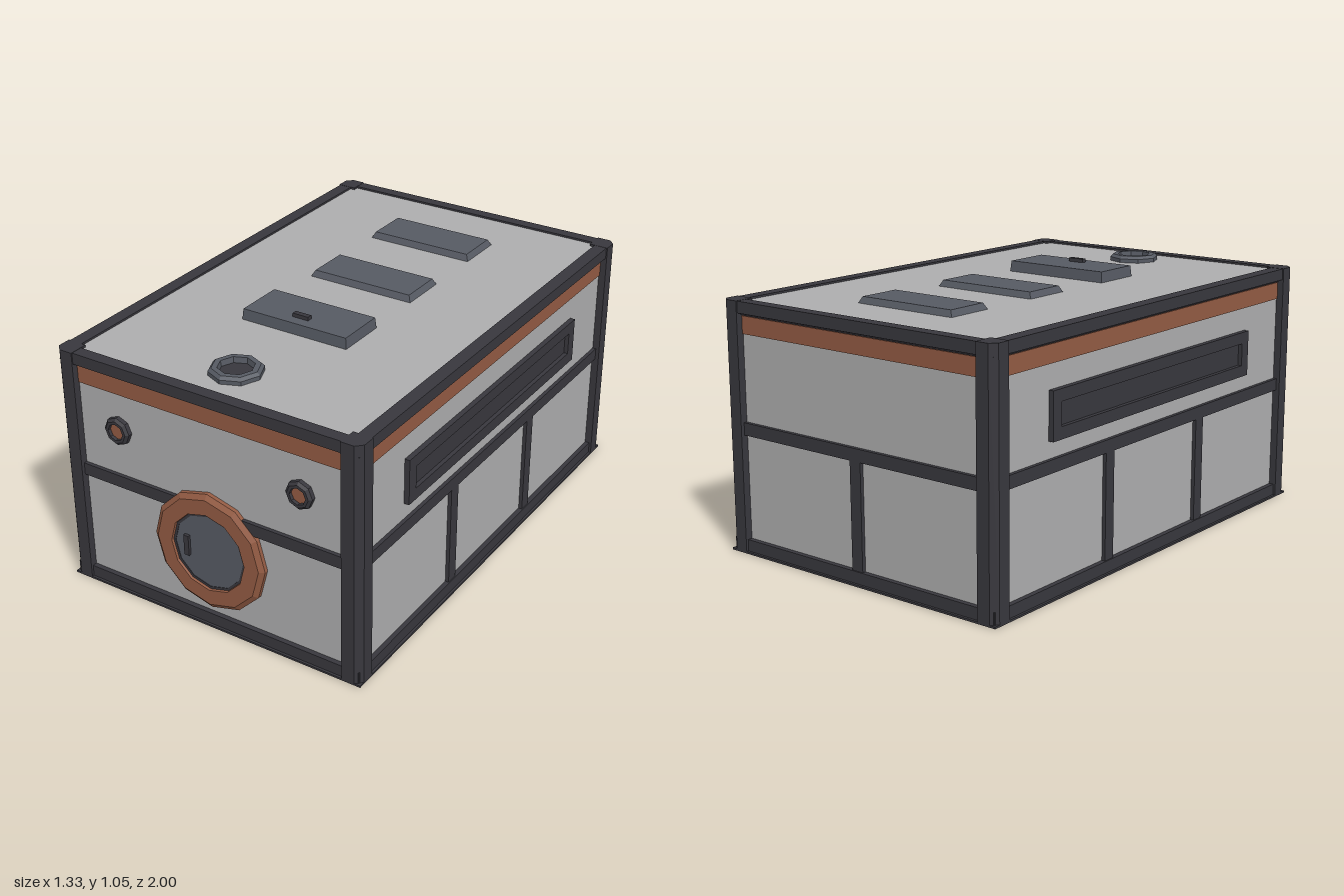
import * as THREE from 'three';

export function createModel() {
  const root = new THREE.Group();
  root.name = 'storageModule';

  const mat = (name, color) => {
    const m = new THREE.MeshStandardMaterial({ color });
    m.name = name;
    return m;
  };
  const panel = mat('light grey panel', 0xadadae);
  const frame = mat('dark frame', 0x38373d);
  const rust = mat('rust orange', 0x935b43);
  const slate = mat('slate grey', 0x565a63);

  const add = (name, geo, m, x = 0, y = 0, z = 0, parent = root) => {
    const mesh = new THREE.Mesh(geo, m);
    mesh.name = name;
    mesh.position.set(x, y, z);
    parent.add(mesh);
    return mesh;
  };
  const box = (name, m, w, h, d, x, y, z, parent) =>
    add(name, new THREE.BoxGeometry(w, h, d), m, x, y, z, parent);

  // Box whose top (or bottom) face is drawn in by an inset
  const taper = (w, h, d, inset, top = true) => {
    const g = new THREE.BoxGeometry(w, h, d);
    const p = g.attributes.position;
    for (let i = 0; i < p.count; i++) {
      if ((p.getY(i) > 0) !== top) continue;
      p.setX(i, p.getX(i) - Math.sign(p.getX(i)) * inset);
      p.setZ(i, p.getZ(i) - Math.sign(p.getZ(i)) * inset);
    }
    const flat = g.toNonIndexed();
    flat.computeVertexNormals();
    return flat;
  };

  // Faceted ring or disc turned from a profile of [radius, height]
  const turned = (profile, sides) => {
    const g = new THREE.LatheGeometry(profile.map(p => new THREE.Vector2(...p)), sides).toNonIndexed();
    g.computeVertexNormals();
    return g;
  };

  // Body and base
  box('bodyPanels', panel, 1.27, 0.935, 1.94, 0, 0.473, 0);
  box('basePlate', frame, 1.33, 0.008, 2, 0, 0.004, 0);
  box('baseBeam', frame, 1.31, 0.05, 1.98, 0, 0.03, 0);
  box('middleBeam', frame, 1.30, 0.05, 1.97, 0, 0.5, 0);

  // Chamfered corner posts
  for (const sx of [-1, 1]) for (const sz of [-1, 1]) {
    const pts = [[0.59, 0.92], [0.665, 0.92], [0.665, 0.975], [0.64, 1], [0.585, 1], [0.585, 0.92]];
    const shape = new THREE.Shape(pts.map(([x, z]) => new THREE.Vector2(sx * x, sz * z)));
    const g = new THREE.ExtrudeGeometry(shape, { depth: 0.996, bevelEnabled: false });
    g.rotateX(-Math.PI / 2);
    add('cornerPost', g, frame, 0, 0.004, 0);
  }

  // Roof rim with a sloped underside, and the roof panel set into it
  add('roofRimSlope', taper(1.31, 0.014, 1.98, 0.02, false), frame, 0, 0.947, 0);
  box('roofPanel', panel, 1.24, 0.038, 1.92, 0, 0.972, 0);
  for (const s of [-1, 1]) {
    box('roofSideBeam', frame, 0.055, 0.046, 1.96, s * 0.6325, 0.976, 0);
    box('roofEndBeam', frame, 1.28, 0.046, 0.05, 0, 0.976, s * 0.97);
  }

  // Painted stripes under the rim
  for (const s of [-1, 1]) {
    box('endStripe', rust, 1.18, 0.07, 0.006, 0, 0.905, s * 0.971);
    box('sideStripe', rust, 0.006, 0.07, 1.84, s * 0.636, 0.905, 0);
  }

  // Lower uprights on the sides and the back
  for (const s of [-1, 1])
    for (const z of [0.31, -0.305])
      box('sideUpright', frame, 0.03, 0.43, 0.052, s * 0.635, 0.265, z);
  box('backUpright', frame, 0.052, 0.43, 0.03, 0, 0.265, -0.97);

  // Long recessed vents on both sides
  const rect = (T, w, h) => new T([[-w, -h], [w, -h], [w, h], [-w, h]].map(p => new THREE.Vector2(...p)));
  for (const s of [-1, 1]) {
    const vent = new THREE.Group();
    vent.name = 'sideVent';
    const shape = rect(THREE.Shape, 0.662, 0.093);
    shape.holes.push(rect(THREE.Path, 0.614, 0.046));
    add('ventFrame', new THREE.ExtrudeGeometry(shape, { depth: 0.022, bevelEnabled: false }), frame, 0, 0, 0, vent);
    box('ventFloor', frame, 1.24, 0.1, 0.006, 0, 0, 0.002, vent);
    vent.position.set(s * 0.634, 0.683, 0);
    vent.rotation.y = s * Math.PI / 2;
    root.add(vent);
  }

  // Round door on the front
  const door = new THREE.Group();
  door.name = 'frontDoor';
  add('doorRing', turned([[0.25, 0], [0.25, 0.02], [0.23, 0.034], [0.166, 0.034], [0.16, 0], [0.25, 0]], 12), rust, 0, 0, 0, door);
  add('doorSeal', turned([[0.165, 0], [0.165, 0.024], [0.154, 0.024], [0.154, 0]], 12), frame, 0, 0, 0, door);
  add('doorDisc', turned([[0.157, 0], [0.157, 0.022], [0, 0.022]], 12), slate, 0, 0, 0, door);
  box('doorHandle', frame, 0.022, 0.014, 0.086, -0.098, 0.027, 0, door);
  door.position.set(0, 0.335, 0.966);
  door.rotation.x = Math.PI / 2;
  root.add(door);

  // Two front lamps
  for (const s of [-1, 1]) {
    const lamp = new THREE.Group();
    lamp.name = 'frontLamp';
    add('lampRim', turned([[0.057, 0], [0.057, 0.018], [0.046, 0.028], [0.034, 0.028], [0.034, 0]], 8), frame, 0, 0, 0, lamp);
    add('lampLens', turned([[0.035, 0], [0.035, 0.014], [0, 0.014]], 8), rust, 0, 0, 0, lamp);
    lamp.position.set(s * 0.405, 0.72, 0.969);
    lamp.rotation.x = Math.PI / 2;
    root.add(lamp);
  }

  // Roof hatches, the front one taller and with a handle
  for (const z of [-0.607, -0.147])
    add('roofHatch', taper(0.465, 0.028, 0.208, 0.014), slate, 0, 1.002, z);
  add('tallRoofHatch', taper(0.47, 0.045, 0.212, 0.004), slate, 0, 1.0125, 0.315);
  box('roofHatchHandle', frame, 0.07, 0.016, 0.022, 0, 1.042, 0.362);

  // Octagonal roof port
  add('roofPortRing', turned([[0.104, 0], [0.104, 0.017], [0.092, 0.029], [0.07, 0.029], [0.066, 0], [0.104, 0]], 8), slate, 0, 0.99, 0.78);
  add('roofPortFloor', turned([[0.07, 0], [0.07, 0.006], [0, 0.006]], 8), frame, 0, 0.99, 0.78);

  return root;
}
